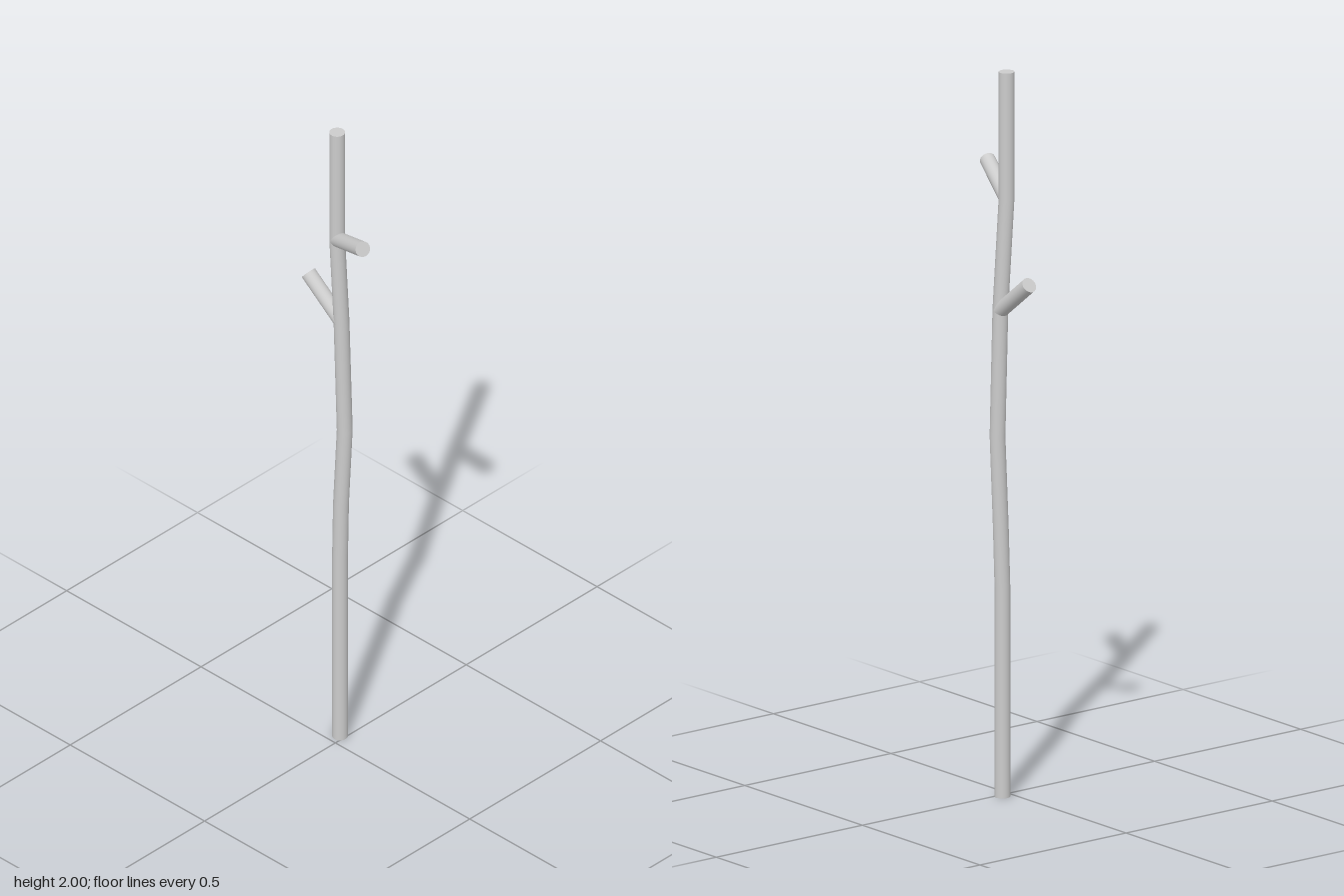
import * as THREE from 'three';

const RADIUS = 0.0212;
const SIDES = 24;
const material = new THREE.MeshStandardMaterial({ color: 0xcccccc });

// Trunk centreline, from the ground up
const trunkPath = [
  [0.032, 0, -0.014],
  [0.032, 0.58, -0.014],
  [0.044, 0.75, -0.022],
  [0.044, 1.0, -0.008],
  [0.044, 1.35, -0.02],
  [0.005, 1.65, 0.002],
  [0.005, 2.0, 0.002],
].map((p) => new THREE.Vector3(...p));

// A capped cylinder whose rings are moved onto the points of the path
function bentPole(path) {
  const n = path.length - 1;
  const geometry = new THREE.CylinderGeometry(RADIUS, RADIUS, n, SIDES, n);
  const pos = geometry.attributes.position;
  for (let i = 0; i < pos.count; i++) {
    const c = path[Math.round(pos.getY(i) + n / 2)];
    pos.setXYZ(i, pos.getX(i) + c.x, c.y, pos.getZ(i) + c.z);
  }
  geometry.computeBoundingSphere();
  return geometry;
}

// A straight, square-cut stub between two points
function branch(name, from, to) {
  const dir = to.clone().sub(from);
  const mesh = new THREE.Mesh(new THREE.CylinderGeometry(RADIUS, RADIUS, dir.length(), SIDES), material);
  mesh.name = name;
  mesh.position.copy(from).add(to).multiplyScalar(0.5);
  mesh.quaternion.setFromUnitVectors(new THREE.Vector3(0, 1, 0), dir.normalize());
  return mesh;
}

export function createModel() {
  const model = new THREE.Group();
  model.name = 'branchedStick';

  const trunk = new THREE.Mesh(bentPole(trunkPath), material);
  trunk.name = 'trunk';
  model.add(trunk);

  // Upper stub leans forward, lower stub leans back
  model.add(branch('frontBranch', trunkPath[5], new THREE.Vector3(-0.047, 1.716, 0.148)));
  model.add(branch('backBranch', trunkPath[4], new THREE.Vector3(0.044, 1.447, -0.143)));
  return model;
}
